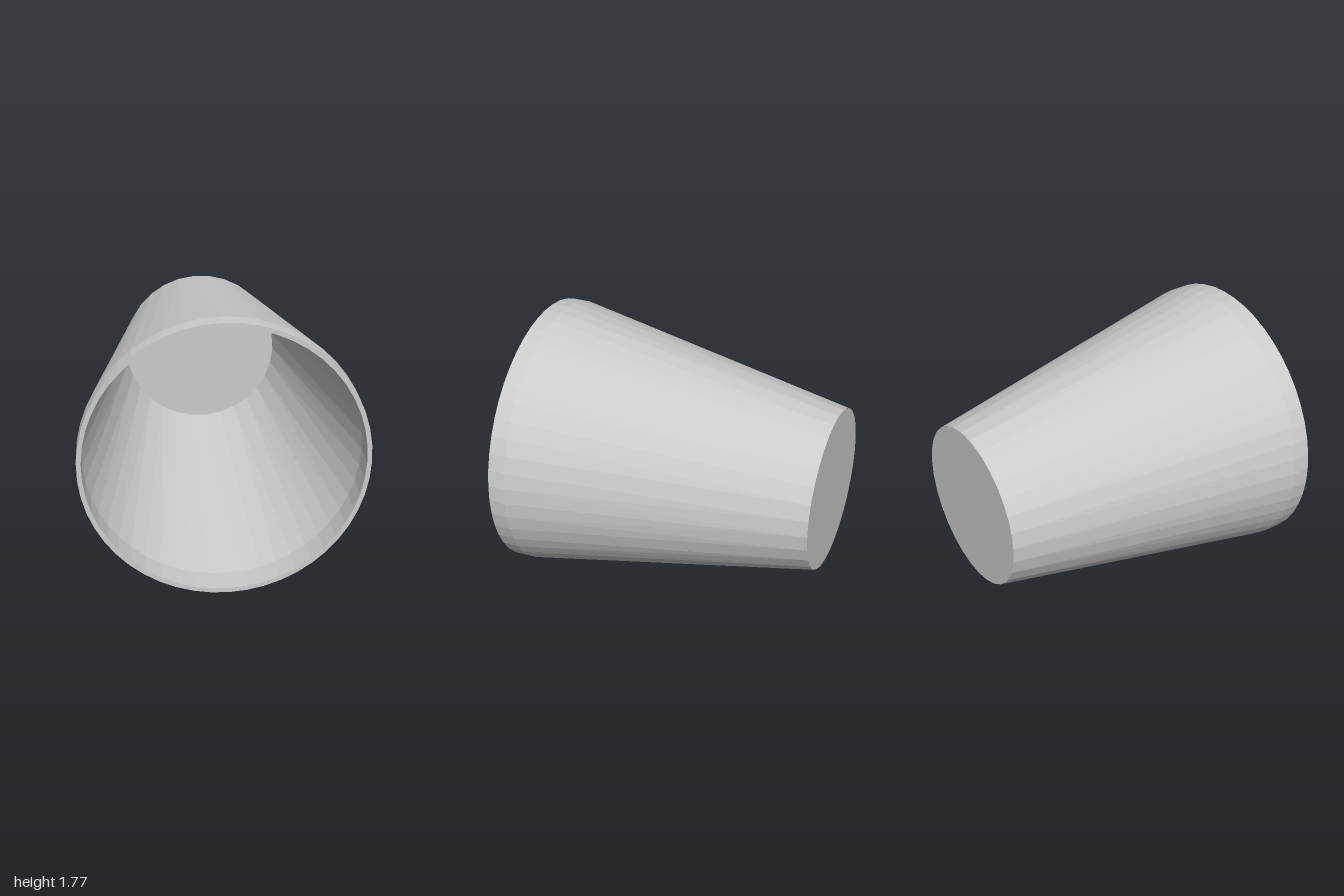
import * as THREE from 'three';

const material = new THREE.MeshStandardMaterial({ color: 0xcccccc, flatShading: true });
const WIDE = 50, NARROW = 30; // sides at the mouth and at the base
const PHASE = -Math.PI / 100;

// Skin between two rings [radius, z, sides]; it faces outward when a lies in front of b
function loft(a, b) {
  const point = ([r, z, n], i) => {
    const t = PHASE + (i / n) * Math.PI * 2;
    return [r * Math.cos(t), r * Math.sin(t), z];
  };
  const pos = [];
  let i = 0, j = 0;
  while (i < a[2] || j < b[2]) {
    if ((i + 0.5) / a[2] <= (j + 0.5) / b[2]) {
      pos.push(...point(a, i), ...point(b, j), ...point(a, i + 1));
      i++;
    } else {
      pos.push(...point(a, i), ...point(b, j), ...point(b, j + 1));
      j++;
    }
  }
  const geo = new THREE.BufferGeometry();
  geo.setAttribute('position', new THREE.Float32BufferAttribute(pos, 3));
  geo.computeVertexNormals();
  return geo;
}

export function createModel() {
  const cup = new THREE.Group();
  cup.name = 'cup';
  const add = (name, geo) => {
    const mesh = new THREE.Mesh(geo, material);
    mesh.name = name;
    cup.add(mesh);
    return mesh;
  };

  // Outside: short straight collar, then the taper
  const lip = [0.887, 1, WIDE], collar = [0.887, 0.89, WIDE], base = [0.53, -1, NARROW];
  add('outerCollar', loft(lip, collar));
  add('outerWall', loft(collar, base));

  // Inside: same profile set back, wound the other way
  const mouth = [0.858, 1, WIDE], step = [0.858, 0.81, WIDE], floor = [0.528, -0.94, NARROW];
  add('innerCollar', loft(step, mouth));
  add('innerWall', loft(floor, step));

  // Rim, floor and closed base
  add('rim', loft(mouth, lip));
  add('innerFloor', new THREE.CircleGeometry(floor[0], NARROW, PHASE)).position.z = floor[1];
  const bottom = add('base', new THREE.CircleGeometry(base[0], NARROW, PHASE));
  bottom.rotation.x = Math.PI;
  bottom.position.z = base[1];

  cup.position.y = 0.887;
  const model = new THREE.Group();
  model.add(cup);
  return model;
}
